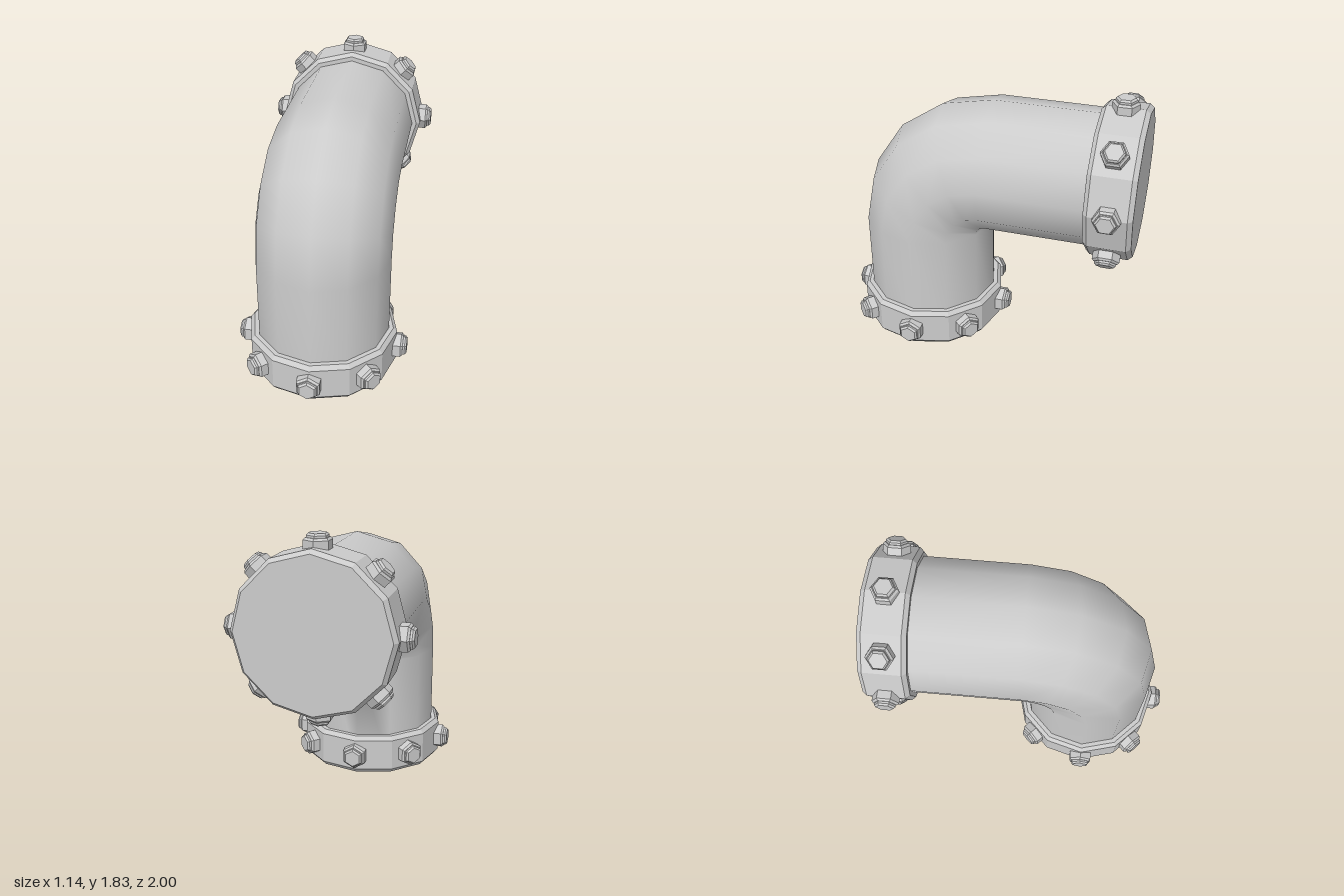
import * as THREE from 'three';
import { mergeVertices } from 'three/addons/utils/BufferGeometryUtils.js';

const SIDES = 12;
const PIPE_R = 0.445;       // pipe radius, also the bend radius of its centre line
const PIVOT_Y = 0.81;       // corner the elbow turns about
const PIVOT_Z = -0.015;

const smooth = new THREE.MeshStandardMaterial({ color: 0xcccccc });
const faceted = new THREE.MeshStandardMaterial({ color: 0xcccccc, flatShading: true });

// Faceted solid of revolution from [radius, height] pairs, bottom to top
function turned(profile, sides) {
  return new THREE.LatheGeometry(profile.map(([r, y]) => new THREE.Vector2(r, y)), sides);
}

// Elbow pipe: rings up the straight leg, round the bend, then along the rear leg
function pipeGeometry() {
  const rings = [{ a: 0, y: 0.05 - PIVOT_Y, z: 0 }];
  for (let i = 0; i <= 4; i++) rings.push({ a: (i / 4) * Math.PI / 2, y: 0, z: 0 });
  rings.push({ a: Math.PI / 2, y: 0, z: -0.95 - PIVOT_Z });

  const positions = [];
  const index = [];
  rings.forEach(({ a, y, z }, k) => {
    for (let j = 0; j < SIDES; j++) {
      const t = (j / SIDES) * Math.PI * 2;
      const out = PIPE_R + PIPE_R * Math.cos(t);
      positions.push(
        PIPE_R * Math.sin(t),
        PIVOT_Y + y + out * Math.sin(a),
        PIVOT_Z + z + out * Math.cos(a)
      );
      if (k === 0) continue;
      const n = (j + 1) % SIDES;
      const low = (k - 1) * SIDES;
      const high = k * SIDES;
      index.push(low + j, low + n, high + j, low + n, high + n, high + j);
    }
  });
  const geometry = new THREE.BufferGeometry();
  geometry.setAttribute('position', new THREE.Float32BufferAttribute(positions, 3));
  geometry.setIndex(index);
  const merged = mergeVertices(geometry); // joins the rings where they meet at the inner corner
  merged.computeVertexNormals();
  return merged;
}

// Hex nut with a smaller hex bolt head on top, heights measured from the pipe axis
const nutGeometry = turned([[0, 0.45], [0.087, 0.45], [0.087, 0.532], [0.074, 0.545], [0, 0.545]], 6);
const headGeometry = turned([[0, 0.53], [0.068, 0.53], [0.068, 0.558], [0.056, 0.57], [0, 0.57]], 6);

// Chamfered collar with a closed end at y = 0 and eight bolts around it
function createFlange(name, height) {
  const flange = new THREE.Group();
  flange.name = name;

  const collar = new THREE.Mesh(turned([
    [0, 0], [0.475, 0], [0.5, 0.03], [0.5, height - 0.027], [0.475, height], [0.42, height],
  ], SIDES), faceted);
  collar.name = 'collar';
  flange.add(collar);

  for (let i = 0; i < 8; i++) {
    const bolt = new THREE.Group();
    bolt.name = 'bolt';
    bolt.position.y = height / 2 + 0.002;
    bolt.rotation.y = (i / 8) * Math.PI * 2;
    for (const [part, geometry] of [['nut', nutGeometry], ['boltHead', headGeometry]]) {
      const mesh = new THREE.Mesh(geometry, faceted);
      mesh.name = part;
      mesh.rotation.x = Math.PI / 2;
      bolt.add(mesh);
    }
    flange.add(bolt);
  }
  return flange;
}

export function createModel() {
  const model = new THREE.Group();
  model.name = 'pipeElbow';

  const pipe = new THREE.Mesh(pipeGeometry(), smooth);
  pipe.name = 'pipe';
  model.add(pipe);

  const lower = createFlange('lowerFlange', 0.27);
  lower.position.set(0, 0, PIVOT_Z + PIPE_R);
  model.add(lower);

  const rear = createFlange('rearFlange', 0.3);
  rear.position.set(0, PIVOT_Y + PIPE_R, -1);
  rear.rotation.x = Math.PI / 2;
  model.add(rear);

  return model;
}
